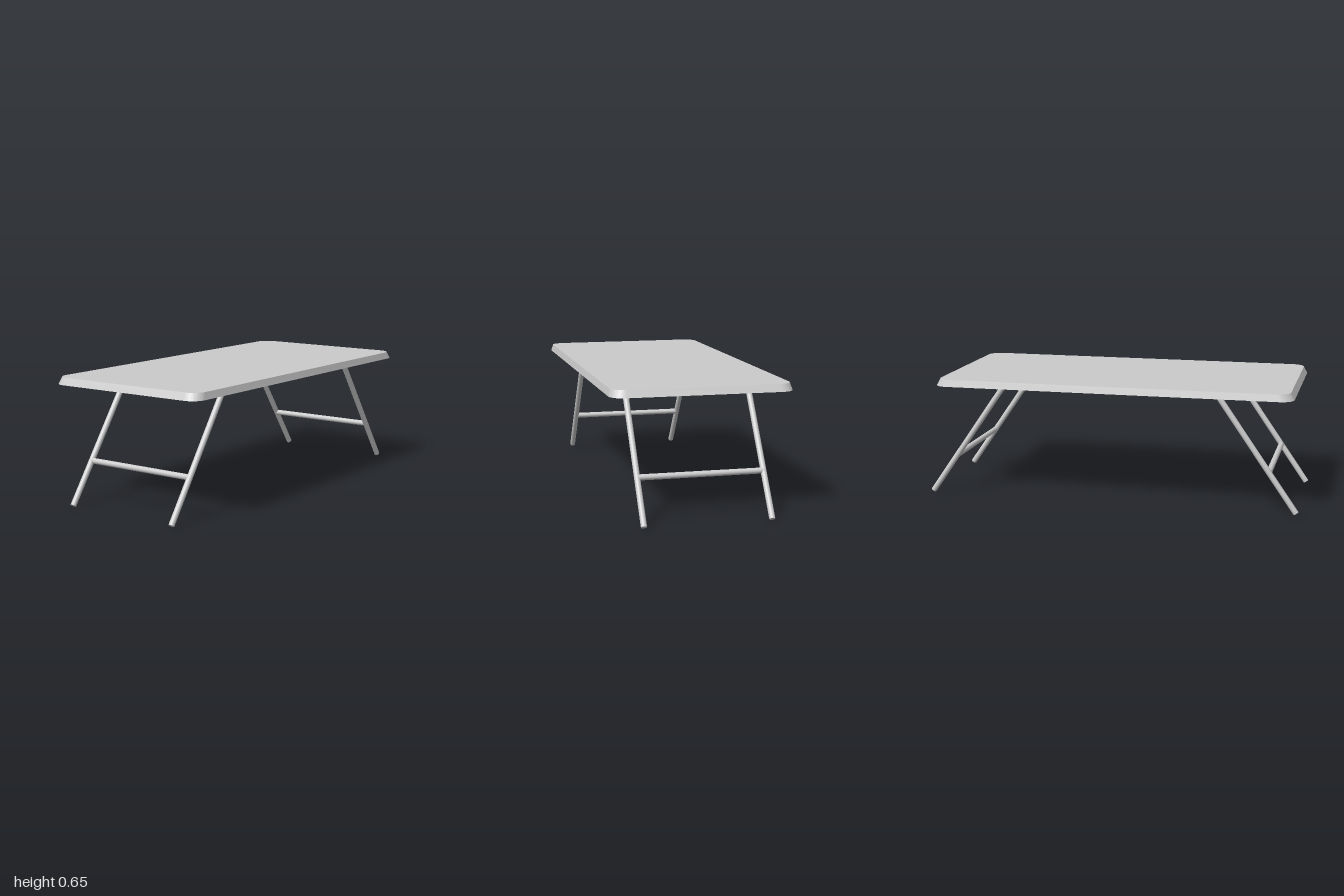
import * as THREE from 'three';
import { toCreasedNormals } from 'three/addons/utils/BufferGeometryUtils.js';

const material = new THREE.MeshStandardMaterial({ color: 0xcccccc });
const TUBE = 0.015;

// Round bar between two points
function bar(name, from, to) {
  const dir = to.clone().sub(from);
  const mesh = new THREE.Mesh(new THREE.CylinderGeometry(TUBE, TUBE, dir.length(), 32), material);
  mesh.position.copy(from).add(to).multiplyScalar(0.5);
  mesh.quaternion.setFromUnitVectors(new THREE.Vector3(0, 1, 0), dir.normalize());
  mesh.name = name;
  return mesh;
}

// Rounded slab whose upper face is slightly smaller than its underside
function tableTop() {
  const a = 0.9425, b = 0.456, r = 0.07, thick = 0.036, taper = 0.98;
  const shape = new THREE.Shape();
  shape.moveTo(a, -b + r);
  shape.absarc(a - r, b - r, r, 0, Math.PI / 2);
  shape.absarc(-a + r, b - r, r, Math.PI / 2, Math.PI);
  shape.absarc(-a + r, -b + r, r, Math.PI, Math.PI * 1.5);
  shape.absarc(a - r, -b + r, r, Math.PI * 1.5, Math.PI * 2);
  const geo = new THREE.ExtrudeGeometry(shape, { depth: thick, bevelEnabled: false, curveSegments: 12 });
  const p = geo.attributes.position;
  for (let i = 0; i < p.count; i++) {
    if (p.getZ(i) > thick / 2) p.setXY(i, p.getX(i) * taper, p.getY(i) * taper);
  }
  geo.rotateX(-Math.PI / 2);
  const mesh = new THREE.Mesh(toCreasedNormals(geo, 0.5), material);
  mesh.position.set(-0.026, 0.615, 0);
  mesh.name = 'tableTop';
  return mesh;
}

export function createModel() {
  const model = new THREE.Group();
  model.name = 'foldingTable';
  model.add(tableTop());

  // Splayed leg frames, one at each end
  const legZ = 0.318, slope = 0.695;
  const legX = (y) => 0.9877 - (y - 0.0086) * slope;
  for (const side of [1, -1]) {
    const frame = new THREE.Group();
    frame.name = side > 0 ? 'leftLegFrame' : 'rightLegFrame';
    const at = (y, z) => new THREE.Vector3(side * legX(y), y, z);
    for (const z of [legZ, -legZ]) {
      frame.add(bar(z > 0 ? 'frontLeg' : 'backLeg', at(0.0086, z), at(0.625, z)));
    }
    frame.add(bar('crossbar', at(0.216, legZ), at(0.216, -legZ)));
    model.add(frame);
  }
  return model;
}
